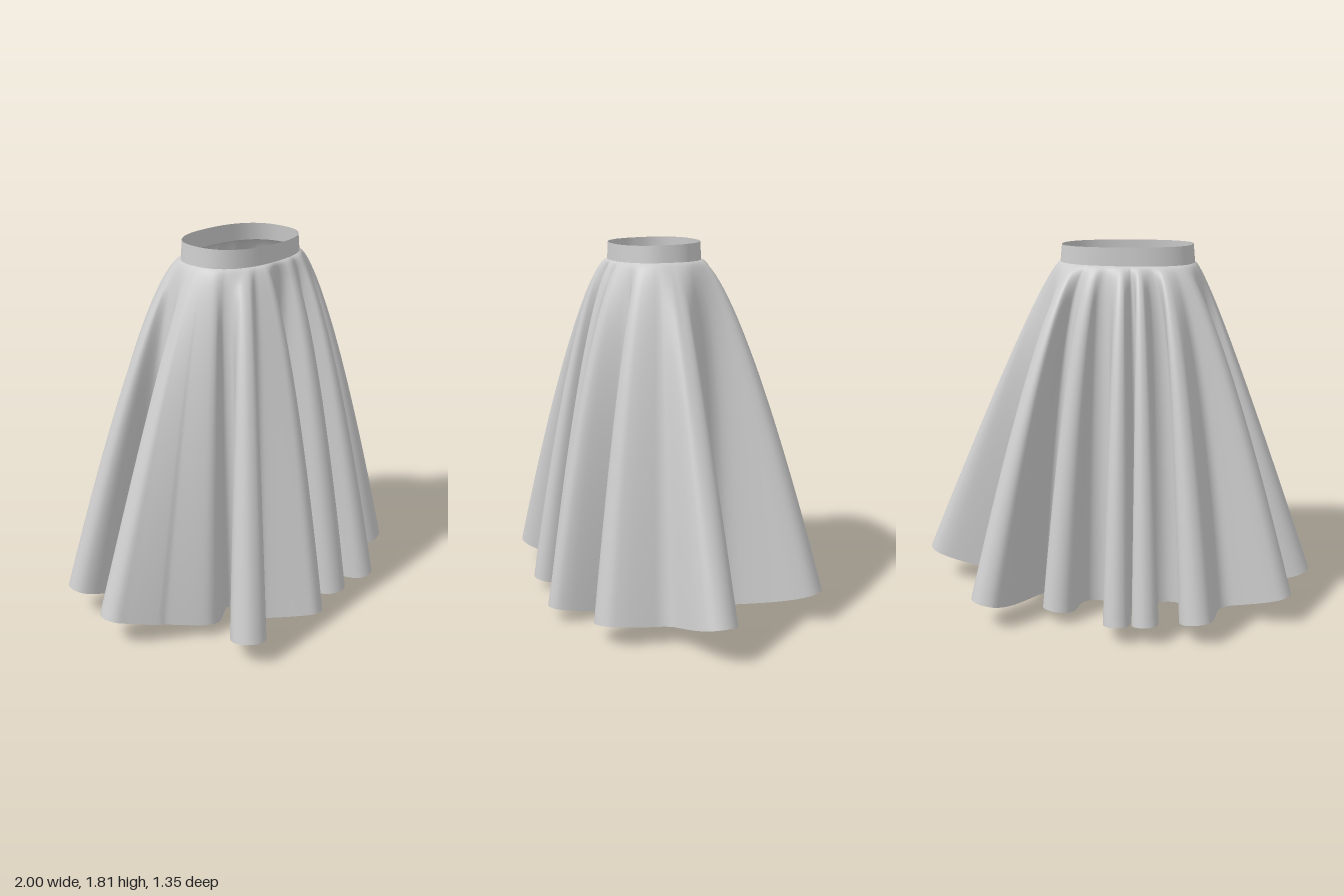
import * as THREE from 'three';

// Hem folds in order around the skirt: [x, z, radius], outward fold then inward fold
const FOLDS = [
  [1.0, 0.01, 0.09], [0.69, 0.21, 0.10],
  [0.61, 0.50, 0.10], [0.33, 0.29, 0.05],
  [0.25, 0.67, 0.065], [0.16, 0.32, 0.045],
  [0.06, 0.63, 0.075], [-0.07, 0.21, 0.10],
  [-0.19, 0.67, 0.07], [-0.42, 0.47, 0.07],
  [-0.72, 0.64, 0.085], [-0.37, 0.27, 0.04],
  [-0.60, 0.34, 0.10], [-0.80, 0.19, 0.05],
  [-1.0, 0.0, 0.085], [-0.52, -0.08, 0.08],
  [-0.90, -0.33, 0.075], [-0.57, -0.36, 0.06],
  [-0.46, -0.65, 0.08], [-0.28, -0.22, 0.08],
  [-0.21, -0.67, 0.065], [-0.145, -0.24, 0.03],
  [-0.08, -0.68, 0.065], [0.05, -0.23, 0.08],
  [0.26, -0.49, 0.08], [0.30, -0.22, 0.04],
  [0.60, -0.61, 0.085], [0.43, -0.12, 0.11],
];
const AROUND = 720;
const ROWS = 48;
const CENTER = new THREE.Vector2(-0.05, 0.06);
const { lerp } = THREE.MathUtils;

// Closed curve with an arc at each fold; the narrower the fold, the further the arc wraps
function hemOutline() {
  const tips = FOLDS.map(([x, z]) => new THREE.Vector2(x, z));
  const n = tips.length;
  const points = [];
  tips.forEach((tip, i) => {
    const prev = tips[(i + n - 1) % n], next = tips[(i + 1) % n], r = FOLDS[i][2];
    const axis = tip.clone().sub(prev.clone().add(next).multiplyScalar(0.5)).normalize();
    const side = new THREE.Vector2(-axis.y, axis.x);
    if (side.dot(prev.clone().sub(next)) < 0) side.negate();
    const toPrev = prev.clone().sub(tip), toNext = next.clone().sub(tip);
    const corner = Math.acos(toPrev.dot(toNext) / (toPrev.length() * toNext.length()));
    const half = Math.min(1.75, (Math.PI - corner) * 0.625);
    for (let k = 1; k >= -1; k -= 0.5) {
      const p = tip.clone().addScaledVector(axis, r * (Math.cos(half * k) - 1))
        .addScaledVector(side, r * Math.sin(half * k));
      points.push(new THREE.Vector3(p.x, 0, p.y));
    }
  });
  const curve = new THREE.CatmullRomCurve3(points, true);
  curve.arcLengthDivisions = 2000;
  return curve.getSpacedPoints(AROUND).slice(0, AROUND).map(p => new THREE.Vector2(p.x, p.z));
}

// Running average around the ring, which irons the folds out
function smoothRing(ring, half, passes) {
  for (let k = 0; k < passes; k++) {
    ring = ring.map((_, i) => {
      const sum = new THREE.Vector2();
      for (let d = -half; d <= half; d++) sum.add(ring[(i + d + AROUND) % AROUND]);
      return sum.multiplyScalar(1 / (2 * half + 1));
    });
  }
  return ring;
}

// Point of the rounded oval waist at an angle
function oval(angle, a, b) {
  const c = Math.cos(angle), s = Math.sin(angle), e = 2.4;
  const r = (Math.abs(c / a) ** e + Math.abs(s / b) ** e) ** (-1 / e);
  return new THREE.Vector2(c * r, s * r).add(CENTER);
}

// Closed surface through stacked rings, listed from top to bottom
function loft(rings) {
  const positions = [], index = [];
  rings.forEach(ring => ring.forEach(p => positions.push(p.x, p.y, p.z)));
  for (let j = 0; j < rings.length - 1; j++) {
    for (let i = 0; i < AROUND; i++) {
      const k = (i + 1) % AROUND;
      const a = j * AROUND + i, b = j * AROUND + k;
      index.push(a, b, a + AROUND, b, b + AROUND, a + AROUND);
    }
  }
  const geometry = new THREE.BufferGeometry();
  geometry.setAttribute('position', new THREE.Float32BufferAttribute(positions, 3));
  geometry.setIndex(index);
  geometry.computeVertexNormals();
  return geometry;
}

export function createModel() {
  const group = new THREE.Group();
  group.name = 'skirt';
  const cloth = new THREE.MeshStandardMaterial({ color: 0xcccccc, side: THREE.DoubleSide });
  cloth.name = 'light grey cloth';

  const hem = hemOutline();
  const mean = smoothRing(hem, 36, 3);
  const angles = mean.map(p => Math.atan2(p.y - CENTER.y, p.x - CENTER.x));
  const waist = angles.map(t => oval(t, 0.33, 0.215));
  const waistY = p => 1.715 - 0.02 * (p.y - CENTER.y);

  // Draped cloth: flares out below the waist; folds gather sideways first, then deepen
  const rings = [];
  for (let j = 0; j <= ROWS; j++) {
    const t = (j / ROWS) ** 1.5;
    rings.push(hem.map((h, i) => {
      const w = waist[i], m = mean[i];
      const out = m.clone().sub(w), dir = out.clone().normalize();
      const fold = h.clone().sub(m), depth = fold.dot(dir);
      const sideways = fold.clone().addScaledVector(dir, -depth);
      const k = Math.abs(dir.y);
      const p = w.clone().addScaledVector(out, t ** lerp(0.7, 0.5, k))
        .addScaledVector(dir, depth * t ** lerp(1.15, 0.75, k))
        .addScaledVector(sideways, t ** 0.65);
      const hemY = 0.165 * h.x * h.x + 0.015 * h.x + 0.17 * h.y * h.y - 0.03 * h.y + 0.001;
      return new THREE.Vector3(p.x, lerp(waistY(w), hemY, t), p.y);
    }));
  }
  const drape = new THREE.Mesh(loft(rings), cloth);
  drape.name = 'drapedCloth';

  // Waistband: narrows slightly upward, dips at the front
  const bandRings = [1, 0.5, 0].map(u => angles.map(t => {
    const p = oval(t, 0.33 - 0.008 * u, 0.215 - 0.004 * u);
    const topY = 1.8 - 0.035 * (p.y - CENTER.y) - 0.01 * (p.x - CENTER.x);
    return new THREE.Vector3(p.x, lerp(waistY(p), topY, u), p.y);
  }));
  const band = new THREE.Mesh(loft(bandRings), cloth);
  band.name = 'waistband';

  group.add(drape, band);
  return group;
}
